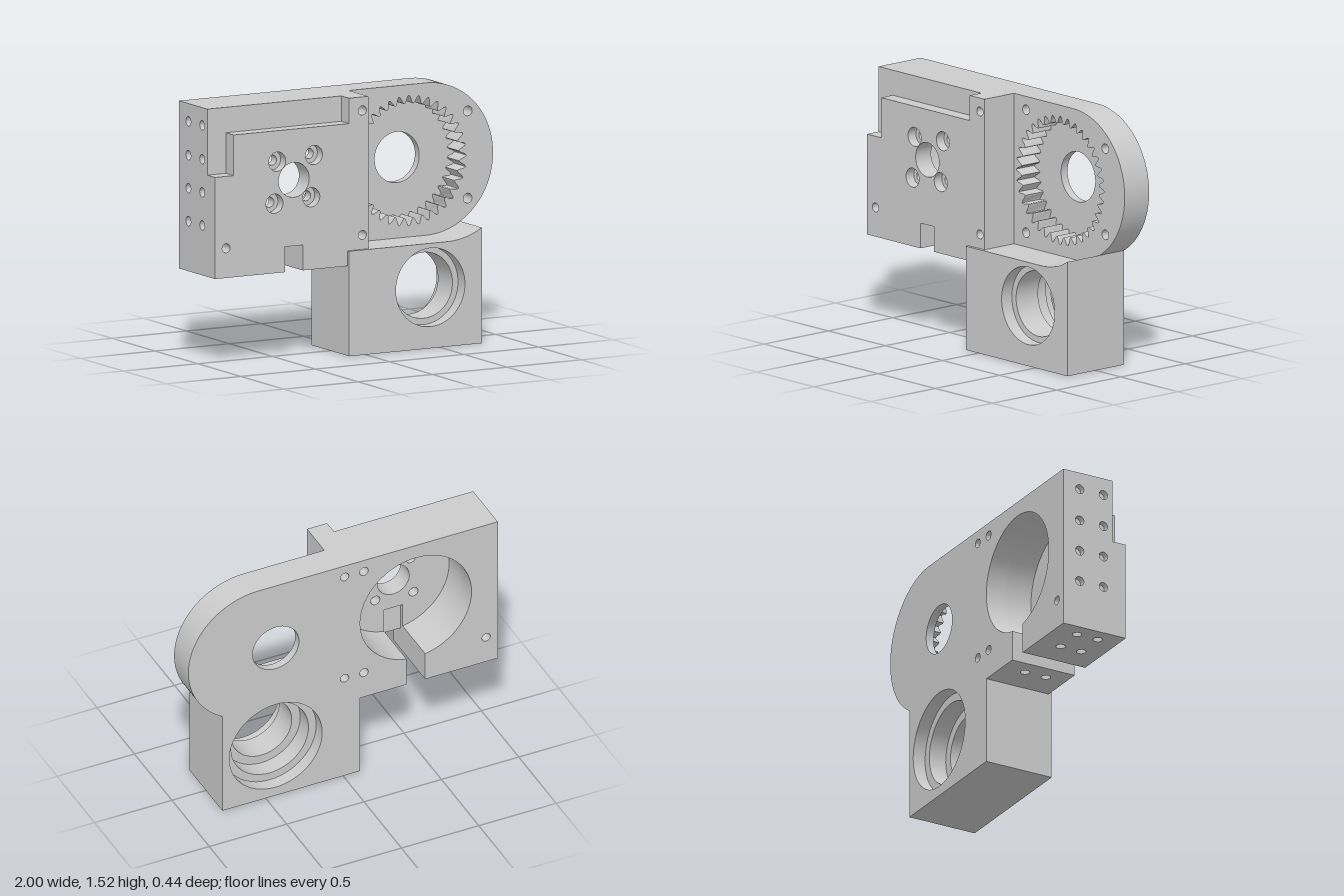
import * as THREE from 'three';
import { toCreasedNormals } from 'three/addons/utils/BufferGeometryUtils.js';

const material = new THREE.MeshStandardMaterial({ color: 0xcccccc });
const CY = 1.07;                       // shared axis height of motor and gear
const MX = -0.47, GX = 0.435;          // motor and gear axes
const ARC_X = 0.55, ARC_R = 0.45;      // rounded end of the gear plate
const ARC_A = -Math.acos((0.78 - ARC_X) / ARC_R);
const ARC_Y = CY + ARC_R * Math.sin(ARC_A);
const XL = -0.96, YB = 0.59;           // core limits behind the drilled skins

function polygon(points) {
  return new THREE.Shape(points.map(([x, y]) => new THREE.Vector2(x, y)));
}

function circle(x, y, r) {
  return new THREE.Path().absarc(x, y, r, 0, Math.PI * 2, false);
}

function extrude(shape, holes, depth) {
  shape.holes = holes;
  const geo = new THREE.ExtrudeGeometry(shape, { depth, bevelEnabled: false, curveSegments: 32 });
  return toCreasedNormals(geo, 0.45);
}

function add(group, name, geo) {
  const mesh = new THREE.Mesh(geo, material);
  mesh.name = name;
  group.add(mesh);
}

// One slice of a part between two depths
function layer(group, name, shape, holes, z0, z1) {
  add(group, name, extrude(shape, holes, z1 - z0).translate(0, 0, z0));
}

// Motor housing outline with the round pocket opening into the bottom slot
function pocketOutline() {
  const r = 0.36, a = Math.asin(0.06 / r), y = CY - r * Math.cos(a);
  const s = new THREE.Shape();
  s.moveTo(XL, YB);
  s.lineTo(-0.53, YB);
  s.lineTo(-0.53, y);
  s.absarc(MX, CY, r, -Math.PI / 2 - a, -Math.PI / 2 + a, true);
  s.lineTo(-0.41, YB);
  s.lineTo(-0.11, YB);
  s.lineTo(-0.11, 0.62);
  s.lineTo(0.03, 0.62);
  s.lineTo(0.03, 1.52);
  s.lineTo(XL, 1.52);
  return s;
}

// Motor face outline with a straight slot, optionally stepped at the top
function faceOutline(slotTop, stepped) {
  const top = stepped
    ? [[-0.1, 1.52], [-0.1, 1.37], [-0.875, 1.37], [-0.875, 1.13], [XL, 1.13]]
    : [[XL, 1.52]];
  return polygon([[XL, YB], [-0.53, YB], [-0.53, slotTop], [-0.41, slotTop], [-0.41, YB],
    [-0.11, YB], [-0.11, 0.62], [0.03, 0.62], [0.03, 1.52], ...top]);
}

// Internal gear cut-out
function gearPath(teeth) {
  const profile = [[-0.5, 0.338], [-0.36, 0.345], [-0.13, 0.378], [0, 0.386], [0.13, 0.378], [0.36, 0.345]];
  const pts = [];
  for (let i = 0; i < teeth; i++) {
    for (const [t, r] of profile) {
      const a = Math.PI / 2 + ((i + t) / teeth) * Math.PI * 2;
      pts.push(new THREE.Vector2(GX + r * Math.cos(a), CY + r * Math.sin(a)));
    }
  }
  return new THREE.Path(pts);
}

function motorHousing() {
  const g = new THREE.Group();
  g.name = 'motorHousing';
  const bolts = () => [[-0.01, 1.44], [-0.01, 0.705], [-0.925, 0.705]].map(([x, y]) => circle(x, y, 0.027));
  const pins = [1.44, 0.705].map((y) => circle(-0.135, y, 0.028));
  const screws = (r) => [[-0.582, 1.187], [-0.335, 1.205], [-0.6, 0.94], [-0.353, 0.957]]
    .map(([x, y]) => circle(x, y, r));
  const shaft = () => circle(MX, CY, 0.103);

  layer(g, 'pocketRear', pocketOutline(), [...bolts(), ...pins], -0.22, -0.1);
  layer(g, 'pocketWall', pocketOutline(), bolts(), -0.1, 0.08);
  layer(g, 'grooveWall', faceOutline(0.87, false), [...bolts(), ...screws(0.03), shaft()], 0.08, 0.11);
  layer(g, 'faceWall', faceOutline(0.68, true), [...bolts(), ...screws(0.03), shaft()], 0.11, 0.14);
  layer(g, 'counterboredFace', faceOutline(0.68, true), [...bolts(), ...screws(0.057), shaft()], 0.14, 0.2);

  // Drilled end skin
  const endHoles = [];
  for (const z of [-0.11, 0.05]) {
    for (const y of [1.415, 1.215, 1.02, 0.825]) endHoles.push(circle(z, y, 0.028));
  }
  const end = polygon([[-0.22, 0.53], [0.2, 0.53], [0.2, 1.13], [0.11, 1.13], [0.11, 1.52], [-0.22, 1.52]]);
  add(g, 'drilledEnd', extrude(end, endHoles, 0.04).rotateY(-Math.PI / 2).translate(XL, 0, 0));

  // Drilled feet on both sides of the slot
  for (const [name, x0, x1, xs] of [['outerFoot', XL, -0.53, [-0.9, -0.71]], ['innerFoot', -0.41, -0.11, [-0.3]]]) {
    const holes = xs.flatMap((x) => [-0.07, 0.07].map((z) => circle(x, z, 0.028)));
    const foot = polygon([[x0, -0.22], [x1, -0.22], [x1, 0.2], [x0, 0.2]]);
    add(g, name, extrude(foot, holes, 0.06).rotateX(Math.PI / 2).translate(0, YB, 0));
  }
  return g;
}

function gearPlate() {
  const g = new THREE.Group();
  g.name = 'gearPlate';
  const outline = () => {
    const s = new THREE.Shape();
    s.moveTo(0.03, 0.668);
    s.lineTo(0.78, 0.668);
    s.lineTo(0.78, ARC_Y);
    s.absarc(ARC_X, CY, ARC_R, ARC_A, Math.PI / 2, false);
    s.lineTo(0.03, 1.52);
    return s;
  };
  const pins = [[0.135, 1.44], [0.135, 0.705], [0.83, 1.33], [0.83, 0.815]].map(([x, y]) => circle(x, y, 0.029));
  layer(g, 'gearFloor', outline(), [circle(GX, CY, 0.15)], -0.22, -0.17);
  layer(g, 'ringGear', outline(), [gearPath(36), ...pins], -0.17, -0.03);
  return g;
}

function bearingBlock() {
  const g = new THREE.Group();
  g.name = 'bearingBlock';
  const rear = () => polygon([[-0.11, 0], [0.78, 0], [0.78, 0.668], [-0.11, 0.668]]);
  // The front half is hollowed on top along the gear plate's rounded end
  const front = () => {
    const s = new THREE.Shape();
    s.moveTo(-0.11, 0);
    s.lineTo(0.78, 0);
    s.lineTo(0.78, ARC_Y);
    s.absarc(ARC_X, CY, ARC_R, ARC_A, -Math.PI / 2, true);
    s.lineTo(-0.11, 0.62);
    return s;
  };
  const bore = (r) => [circle(GX, 0.36, r)];
  layer(g, 'rearSeat', rear(), bore(0.3), -0.22, -0.14);
  layer(g, 'middleSeat', rear(), bore(0.25), -0.14, -0.03);
  layer(g, 'throughBore', front(), bore(0.195), -0.03, 0.14);
  layer(g, 'frontSeat', front(), bore(0.232), 0.14, 0.22);
  return g;
}

export function createModel() {
  const model = new THREE.Group();
  model.name = 'gearboxHousing';
  model.add(motorHousing(), gearPlate(), bearingBlock());
  return model;
}
